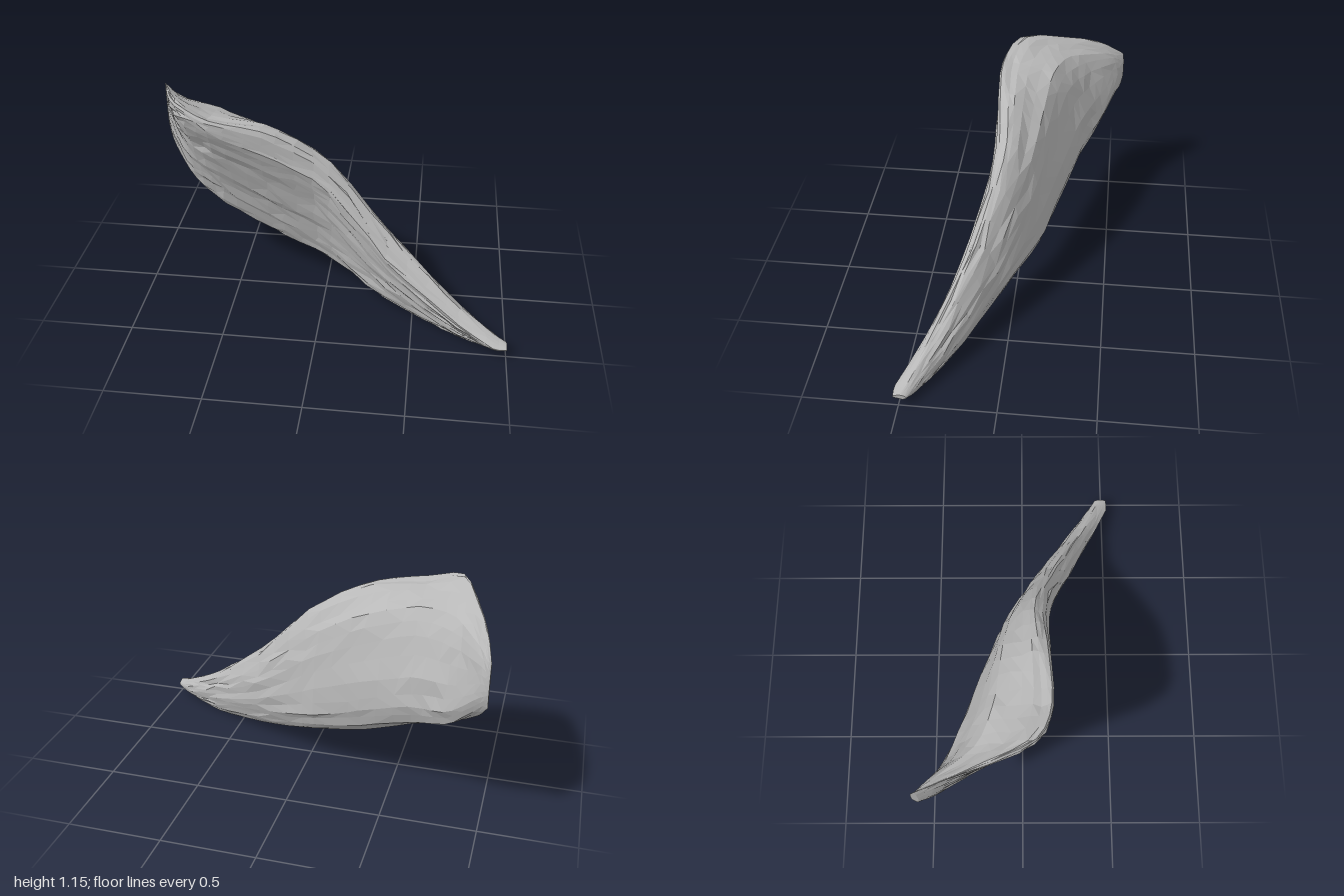
import * as THREE from 'three';

// Cross-sections: x, then (y, z) of crest, lip, front upper, front lower, keel, back lower, back upper
const SECTIONS = [
  [-1.0, 0.96, -0.53, 0.93, -0.51, 0.88, -0.51, 0.80, -0.51, 0.72, -0.52, 0.80, -0.54, 0.90, -0.54],
  [-0.95, 1.06, -0.36, 1.03, -0.36, 0.92, -0.37, 0.75, -0.40, 0.635, -0.45, 0.76, -0.51, 0.95, -0.47],
  [-0.8, 1.145, 0.00, 1.09, 0.04, 0.90, -0.08, 0.65, -0.20, 0.50, -0.31, 0.61, -0.42, 0.98, -0.29],
  [-0.6, 1.085, 0.09, 1.04, 0.145, 0.86, 0.05, 0.60, -0.08, 0.405, -0.20, 0.56, -0.335, 0.98, -0.19],
  [-0.3, 1.05, 0.08, 0.93, 0.145, 0.74, 0.08, 0.47, -0.03, 0.285, -0.13, 0.44, -0.225, 0.87, -0.14],
  [0.0, 0.88, 0.065, 0.77, 0.145, 0.60, 0.10, 0.35, 0.025, 0.195, -0.04, 0.32, -0.12, 0.69, -0.07],
  [0.35, 0.53, 0.18, 0.40, 0.265, 0.28, 0.235, 0.15, 0.19, 0.06, 0.15, 0.17, 0.08, 0.39, 0.08],
  [0.7, 0.24, 0.35, 0.17, 0.415, 0.11, 0.40, 0.05, 0.37, -0.01, 0.32, 0.06, 0.275, 0.17, 0.28],
  [0.92, 0.11, 0.45, 0.075, 0.52, 0.05, 0.51, 0.03, 0.48, 0.015, 0.45, 0.03, 0.415, 0.08, 0.41],
  [1.0, 0.075, 0.49, 0.065, 0.525, 0.055, 0.52, 0.05, 0.50, 0.045, 0.48, 0.05, 0.46, 0.065, 0.46],
];
const RAILS = 7, AROUND = 35, ALONG = 30;

// Repeatable value in -1..1 for a pair of whole numbers
function noise(a, b) {
  const s = Math.sin(a * 127.1 + b * 311.7) * 43758.5453;
  return (s - Math.floor(s)) * 2 - 1;
}

// Long fibre grooves: each strand keeps its height for a stretch, then blends to the next
function groove(i, j) {
  const t = (j + (i % 3) * 2) / 6, k = Math.floor(t), f = t - k;
  return noise(i, k) * (1 - f) + noise(i, k + 1) * f;
}

function fibreBody() {
  // Smooth rails running lengthwise through the sections
  const rails = Array.from({ length: RAILS }, (_, r) => new THREE.CatmullRomCurve3(
    SECTIONS.map((s) => new THREE.Vector3(s[0], s[1 + r * 2], s[2 + r * 2])), false, 'catmullrom', 0.4));

  const positions = [], index = [], ends = [];
  for (let j = 0; j <= ALONG; j++) {
    const points = rails.map((rail) => rail.getPoint(j / ALONG));
    const ring = new THREE.CatmullRomCurve3(points, true, 'catmullrom', 0.45);
    const centre = points.reduce((sum, p) => sum.add(p), new THREE.Vector3()).divideScalar(RAILS);
    if (j === 0 || j === ALONG) ends.push(centre);
    const inside = j > 0 && j < ALONG;
    for (let i = 0; i < AROUND; i++) {
      const p = ring.getPoint(i / AROUND);
      const out = p.clone().sub(centre);
      const size = out.length();
      if (inside) {
        // Fade the unevenness towards the thin ends
        const fade = Math.min(1, (1 - Math.abs(p.x)) * 4);
        p.addScaledVector(out.normalize(), groove(i, j) * fade * Math.min(0.017, size * 0.08));
        p.x += noise(i + 50, j) * 0.012 * fade;
      }
      p.y = Math.max(p.y, 0);
      p.x = THREE.MathUtils.clamp(p.x, -1, 1);
      positions.push(p.x, p.y, p.z);
    }
  }

  // Side faces, with alternating diagonals
  for (let j = 0; j < ALONG; j++) {
    for (let i = 0; i < AROUND; i++) {
      const n = (i + 1) % AROUND;
      const a = j * AROUND + i, b = j * AROUND + n;
      const c = a + AROUND, d = b + AROUND;
      if (noise(i, j + 90) > 0) index.push(a, b, c, b, d, c);
      else index.push(a, b, d, a, d, c);
    }
  }

  // Closed ends
  const first = positions.length / 3, last = ALONG * AROUND;
  ends.forEach((e) => positions.push(e.x, e.y, e.z));
  for (let i = 0; i < AROUND; i++) {
    const n = (i + 1) % AROUND;
    index.push(first, n, i, first + 1, last + i, last + n);
  }

  const geometry = new THREE.BufferGeometry();
  geometry.setAttribute('position', new THREE.Float32BufferAttribute(positions, 3));
  geometry.setIndex(index);
  const faceted = geometry.toNonIndexed();
  faceted.computeVertexNormals();
  return faceted;
}

export function createModel() {
  const group = new THREE.Group();
  group.name = 'muscle';
  const grey = new THREE.MeshStandardMaterial({ color: 0xb8b8b8 });
  grey.name = 'light grey';
  grey.flatShading = true;
  const body = new THREE.Mesh(fibreBody(), grey);
  body.name = 'fibreBody';
  group.add(body);
  return group;
}
